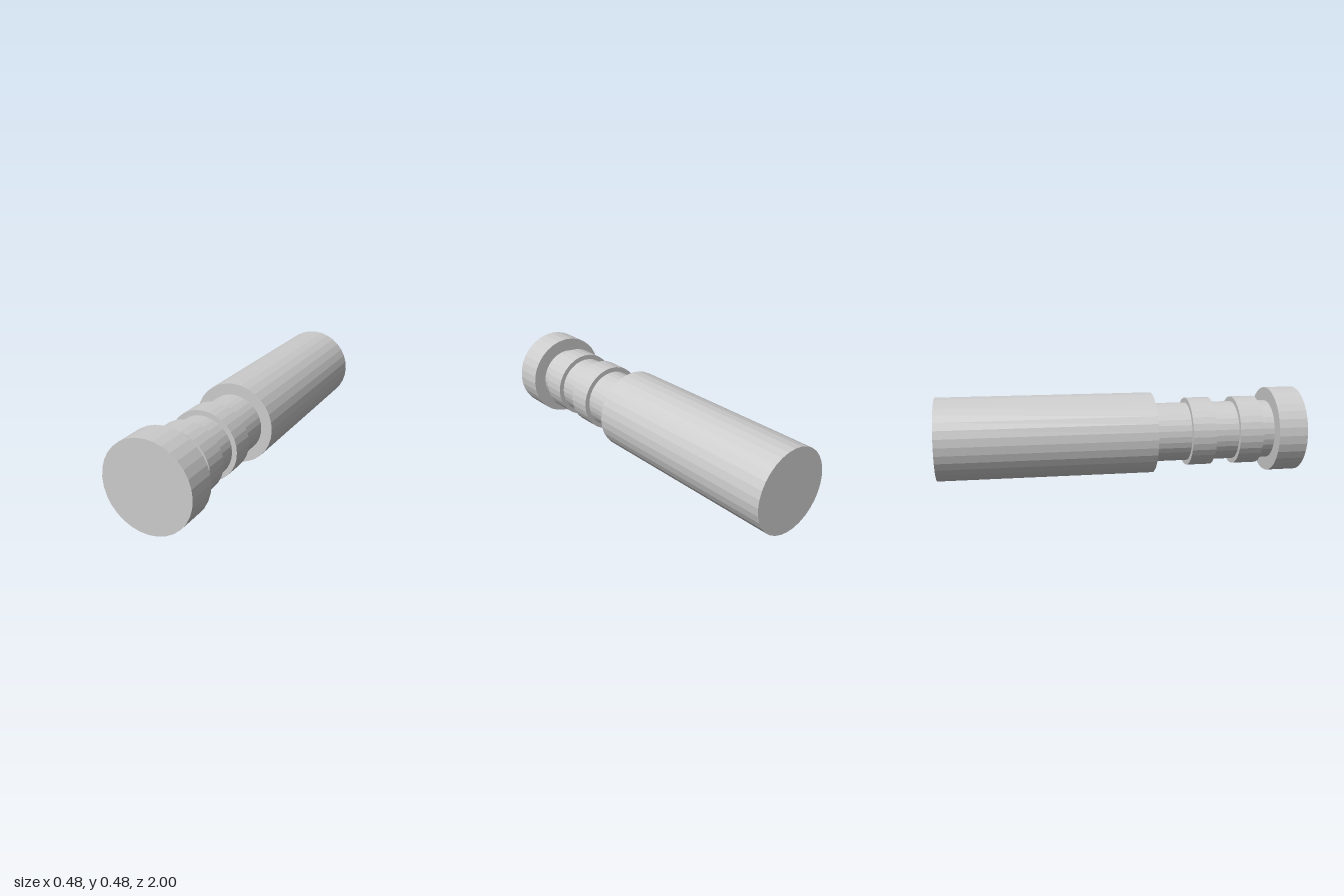
import * as THREE from 'three';

const AXIS_Y = 0.239;
const SIDES = 32;

export function createModel() {
  const group = new THREE.Group();
  group.name = 'steppedPin';
  const material = new THREE.MeshStandardMaterial({ color: 0xcccccc, flatShading: true });

  // Solid cylinder lying along z between two stations
  function addSection(name, radius, zBack, zFront) {
    const geometry = new THREE.CylinderGeometry(radius, radius, zFront - zBack, SIDES);
    geometry.rotateX(Math.PI / 2);
    const mesh = new THREE.Mesh(geometry, material);
    mesh.name = name;
    mesh.position.set(0, AXIS_Y, (zBack + zFront) / 2);
    group.add(mesh);
  }

  // Long rear barrel
  addSection('barrel', 0.224, -1, 0.168);
  // Slim shaft joining the barrel to the head
  addSection('shaft', 0.163, 0.168, 0.838);
  // Two raised collars on the shaft
  addSection('rearCollar', 0.19, 0.367, 0.499);
  addSection('frontCollar', 0.19, 0.634, 0.765);
  // Wide front head
  addSection('head', 0.238, 0.838, 1);

  return group;
}
